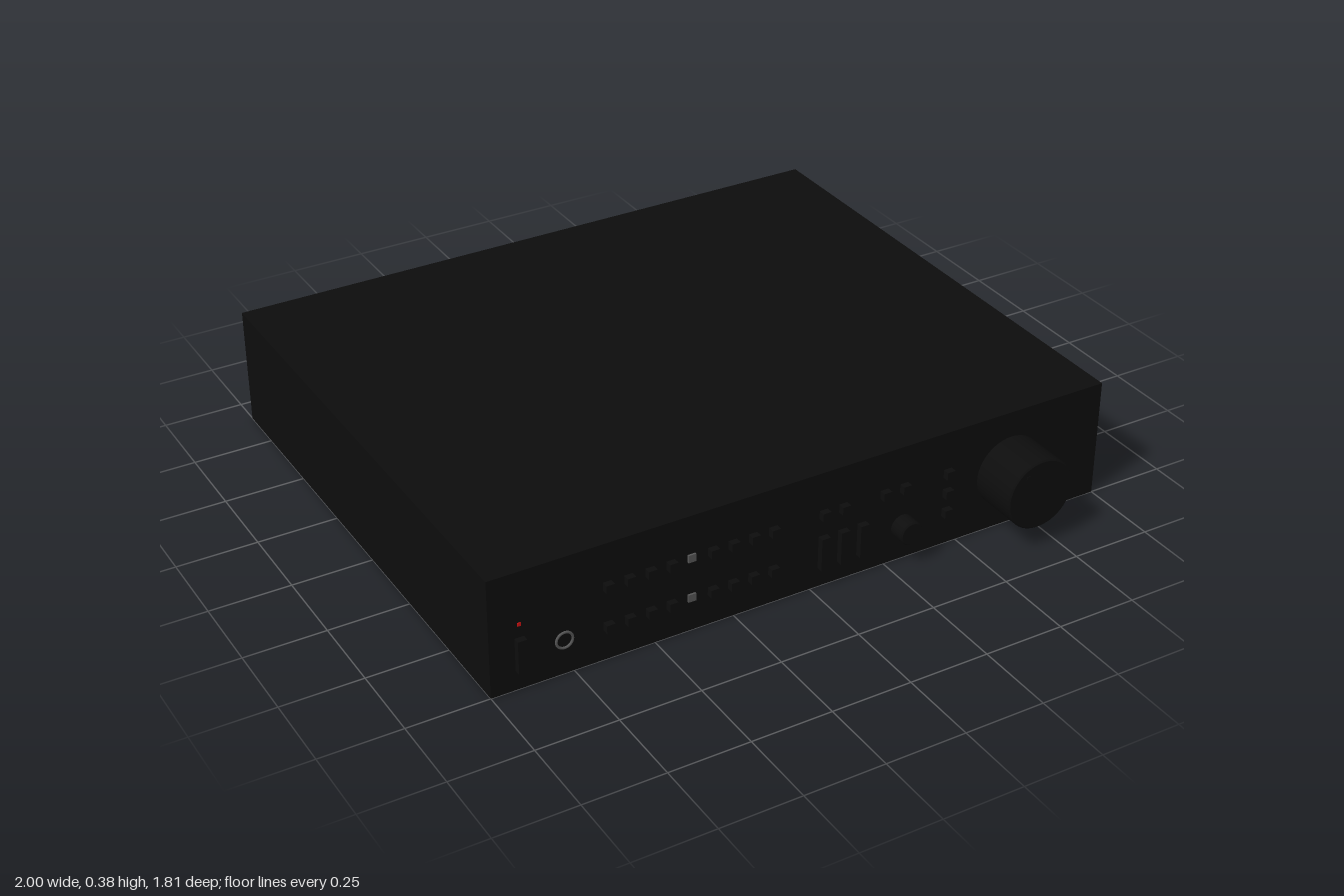
import * as THREE from 'three';

const FRONT = 0.75; // z of the front panel

export function createModel() {
  const model = new THREE.Group();
  const paint = (color) => new THREE.MeshStandardMaterial({ color });
  const black = paint(0x0d0d0d);
  const grey = paint(0x555555);
  const red = paint(0xcc1111);

  const add = (name, geometry, material, x, y, z) => {
    const mesh = new THREE.Mesh(geometry, material);
    mesh.name = name;
    mesh.position.set(x, y, z);
    model.add(mesh);
    return mesh;
  };
  // Box standing proud of the front panel
  const button = (name, x, y, w, h, depth, material = black) =>
    add(name, new THREE.BoxGeometry(w, h, depth), material, x, y, FRONT + depth / 2);
  // Round knob with a small bevelled rim, axis along z
  const knob = (name, x, y, radius, depth) => {
    const bevel = 0.004;
    const points = [[radius, 0], [radius, depth - bevel], [radius, depth - bevel],
      [radius - bevel, depth], [radius - bevel, depth], [0, depth]]
      .map(([r, h]) => new THREE.Vector2(r, h));
    const geometry = new THREE.LatheGeometry(points, 48);
    geometry.rotateX(Math.PI / 2);
    return add(name, geometry, black, x, y, FRONT);
  };

  // Case
  add('case', new THREE.BoxGeometry(2, 0.375, 1.655), black, 0, 0.1875, -0.0775);

  // Two rows of selector buttons with an indicator lamp in the middle
  for (const y of [0.11, 0.24]) {
    for (let i = 0; i < 9; i++) {
      const x = -0.645 + i * 0.065;
      if (i === 4) button('indicatorLamp', x, y, 0.024, 0.024, 0.006, grey);
      else button('selectorButton', x, y, 0.026, 0.026, 0.02);
    }
  }

  // Small function buttons
  for (const x of [0.04, 0.105, 0.243, 0.31]) button('functionButton', x, 0.24, 0.026, 0.026, 0.02);
  for (const y of [0.11, 0.175, 0.24]) button('modeButton', 0.46, y, 0.026, 0.026, 0.02);

  // Tall switches, the first being the power switch
  button('powerSwitch', -0.91, 0.115, 0.028, 0.105, 0.02);
  for (const x of [0.04, 0.105, 0.17]) button('tallSwitch', x, 0.115, 0.028, 0.105, 0.02);

  // Power light
  button('powerLight', -0.91, 0.21, 0.01, 0.01, 0.003, red);

  // Headphone socket
  add('socketRing', new THREE.TorusGeometry(0.025, 0.004, 8, 32), grey, -0.777, 0.11, FRONT + 0.001);

  // Knobs
  knob('balanceKnob', 0.31, 0.11, 0.037, 0.052);
  knob('volumeKnob', 0.68, 0.18, 0.112, 0.153);
  add('volumeMark', new THREE.BoxGeometry(0.012, 0.012, 0.004), black, 0.63, 0.25, FRONT + 0.153);

  return model;
}
